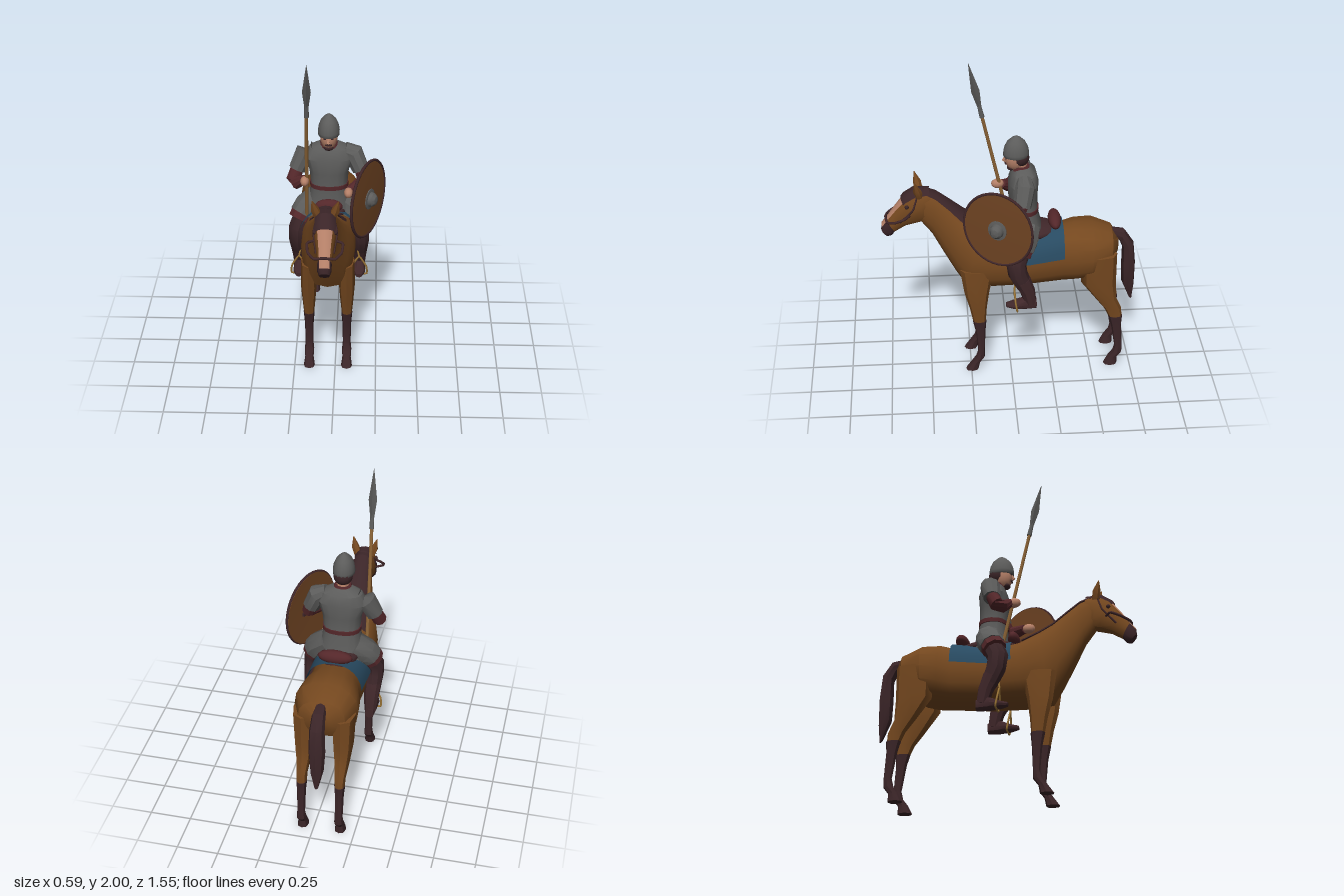
import * as THREE from 'three';
import { toCreasedNormals } from 'three/addons/utils/BufferGeometryUtils.js';

const CX = -0.045; // centre line of horse and rider

function mat(name, color, side = THREE.FrontSide) {
  const m = new THREE.MeshStandardMaterial({ color, side });
  m.name = name;
  return m;
}
const V = (x, y, z) => new THREE.Vector3(x, y, z);

// Surface through rows of points; closed rows are capped and turned outward
function surface(rows, closed, crease = 0.6) {
  const n = rows[0].length, pts = rows.flat(), idx = [];
  for (let i = 0; i < rows.length - 1; i++)
    for (let j = 0; j < (closed ? n : n - 1); j++) {
      const a = i * n + j, b = i * n + (j + 1) % n;
      idx.push(a, b, a + n, b, b + n, a + n);
    }
  if (closed) {
    [0, rows.length - 1].forEach((r) => {
      const c = rows[r].reduce((s, p) => s.add(p), V(0, 0, 0)).divideScalar(n);
      pts.push(c);
      for (let j = 0; j < n; j++) {
        const a = r * n + j, b = r * n + (j + 1) % n;
        r ? idx.push(a, b, pts.length - 1) : idx.push(b, a, pts.length - 1);
      }
    });
    let vol = 0;
    for (let k = 0; k < idx.length; k += 3)
      vol += pts[idx[k]].dot(V(0, 0, 0).crossVectors(pts[idx[k + 1]], pts[idx[k + 2]]));
    if (vol < 0) idx.reverse();
  }
  const g = new THREE.BufferGeometry().setFromPoints(pts);
  g.setIndex(idx);
  return toCreasedNormals(g, crease);
}

// Section [topZ, topY, bottomZ, bottomY, halfWidth, x] as points between two angles
function section([zt, yt, zb, yb, w, x = 0], n, a0 = 0, a1 = 360, off = 0) {
  const row = [], full = a1 - a0 === 360;
  const h = Math.hypot(zt - zb, yt - yb) / 2, k = (h + off) / h;
  const soft = (v) => Math.sign(v) * Math.abs(v) ** 0.85;
  for (let j = 0; j < n; j++) {
    const a = THREE.MathUtils.degToRad(a0 + (a1 - a0) * j / (full ? n : n - 1));
    const s = soft(Math.sin(a)) * k, c = soft(Math.cos(a));
    row.push(V(x + c * (w + off), (yt + yb) / 2 + s * (yt - yb) / 2, (zt + zb) / 2 + s * (zt - zb) / 2));
  }
  return row;
}
const loft = (secs, n = 12, off = 0) => surface(secs.map((s) => section(s, n, 0, 360, off)), true);
const band = (secs, a0, a1, off, n = 9) => surface(secs.map((s) => section(s, n, a0, a1, off)), false);

// Round limb through [x, y, z, radius]
function limb(path, n = 10) {
  const p = path.map(([x, y, z]) => V(x, y, z));
  return surface(p.map((c, i) => {
    const t = p[Math.min(i + 1, p.length - 1)].clone().sub(p[Math.max(i - 1, 0)]).normalize();
    const u = V(0, 0, 0).crossVectors(t, Math.abs(t.x) > 0.9 ? V(0, 1, 0) : V(1, 0, 0)).normalize();
    const v = V(0, 0, 0).crossVectors(t, u);
    return Array.from({ length: n }, (_, j) => {
      const a = j / n * Math.PI * 2;
      return c.clone().addScaledVector(u, Math.cos(a) * path[i][3]).addScaledVector(v, Math.sin(a) * path[i][3]);
    });
  }), true);
}
function tube(points, r, closed = false) {
  const curve = new THREE.CatmullRomCurve3(points.map((p) => V(...p)), closed, 'catmullrom', 0.2);
  return new THREE.TubeGeometry(curve, 32, r, 6, closed);
}

export function createModel() {
  const model = new THREE.Group();
  const coat = mat('bay coat', 0x75481f);
  const hair = mat('dark hair', 0x3b2528, THREE.DoubleSide);
  const steel = mat('mail and steel', 0x5c5c5b);
  const blue = mat('blanket blue', 0x284a61, THREE.DoubleSide);
  const wine = mat('wine cloth', 0x54272a);
  const skin = mat('skin', 0xb58068, THREE.DoubleSide);
  const ash = mat('spear wood', 0x8a6235);
  const brass = mat('brass', 0x9a7436);
  const planks = mat('shield wood', 0x6e4322);
  const leather = mat('dark leather', 0x40272a);

  const horse = new THREE.Group(), rider = new THREE.Group();
  horse.name = 'horse';
  rider.name = 'rider';
  horse.position.x = rider.position.x = CX;
  model.add(horse, rider);
  const add = (parent, name, geo, material, x = 0, y = 0, z = 0) => {
    const m = new THREE.Mesh(geo, material);
    m.name = name;
    m.position.set(x, y, z);
    parent.add(m);
    return m;
  };

  // Horse body and neck
  const body = [
    [-0.66, 0.88, -0.655, 0.78, 0.06], [-0.62, 0.94, -0.61, 0.69, 0.14], [-0.5, 0.985, -0.49, 0.63, 0.19],
    [-0.39, 0.985, -0.4, 0.61, 0.178], [-0.31, 0.965, -0.32, 0.6, 0.155], [-0.1, 0.935, -0.1, 0.58, 0.16],
    [0.08, 0.97, 0.1, 0.575, 0.165], [0.2, 1.03, 0.27, 0.585, 0.155], [0.28, 1.08, 0.335, 0.69, 0.125],
    [0.36, 1.15, 0.41, 0.83, 0.09], [0.44, 1.215, 0.47, 0.95, 0.068], [0.52, 1.25, 0.53, 1.03, 0.055]];
  add(horse, 'body', loft(body, 16), coat);

  // Head, muzzle and blaze
  const head = [
    [0.48, 1.245, 0.46, 1.1, 0.05], [0.57, 1.25, 0.5, 1.04, 0.062], [0.63, 1.21, 0.55, 1.03, 0.064],
    [0.69, 1.13, 0.625, 1.01, 0.05], [0.74, 1.06, 0.69, 0.97, 0.041]];
  const muzzle = [head[4], [0.77, 1.02, 0.71, 0.945, 0.04], [0.775, 0.985, 0.735, 0.938, 0.03]];
  add(horse, 'head', loft(head), coat);
  add(horse, 'muzzle', loft(muzzle), hair);
  add(horse, 'blaze', band([...head.slice(2), muzzle[1]], 52, 128, 0.004, 5), skin);
  add(horse, 'forelock', band([head[0], head[1], head[2], [0.645, 1.19, 0.56, 1.03, 0.06]], 40, 140, 0.012, 7), hair);

  // Mane lying over the crest, pointed at the withers
  add(horse, 'mane', band([[0.09, 0.98, 0.11, 0.58, 0.15], ...body.slice(7)], 52, 128, 0.012), hair);

  add(horse, 'tail', loft([
    [-0.6, 0.94, -0.6, 0.87, 0.03], [-0.7, 0.92, -0.67, 0.85, 0.04], [-0.76, 0.83, -0.69, 0.8, 0.045],
    [-0.776, 0.68, -0.69, 0.67, 0.05], [-0.775, 0.52, -0.695, 0.55, 0.04], [-0.765, 0.41, -0.745, 0.43, 0.012]], 8), hair);

  // Legs: [y, front z, back z, half width]
  const frontUpper = [[0.74, 0.31, 0.1, 0.045], [0.57, 0.285, 0.135, 0.048], [0.46, 0.255, 0.15, 0.04], [0.36, 0.235, 0.157, 0.031]];
  const frontLower = [[0.365, 0.238, 0.153, 0.034], [0.28, 0.22, 0.16, 0.027], [0.14, 0.207, 0.165, 0.024],
    [0.09, 0.222, 0.165, 0.029], [0.05, 0.25, 0.195, 0.026], [0, 0.285, 0.205, 0.034]];
  const hindUpper = [[0.82, -0.42, -0.645, 0.07], [0.62, -0.43, -0.645, 0.06], [0.5, -0.52, -0.65, 0.045],
    [0.42, -0.58, -0.685, 0.033], [0.355, -0.61, -0.69, 0.03]];
  const hindLower = [[0.365, -0.605, -0.694, 0.033], [0.3, -0.625, -0.69, 0.027], [0.14, -0.652, -0.7, 0.024],
    [0.09, -0.64, -0.7, 0.029], [0.05, -0.61, -0.67, 0.026], [0, -0.585, -0.672, 0.034]];
  for (const s of [1, -1]) {
    const leg = (rows) => loft(rows.map(([y, f, b, w]) => [f, y, b, y, w, s * 0.115]), 8);
    add(horse, 'frontLeg', leg(frontUpper), coat);
    add(horse, 'frontStocking', leg(frontLower), hair);
    add(horse, 'hindLeg', leg(hindUpper), coat);
    add(horse, 'hindStocking', leg(hindLower), hair);
    add(horse, 'ear', limb([[s * 0.04, 1.22, 0.54, 0.024], [s * 0.06, 1.27, 0.55, 0.024], [s * 0.075, 1.33, 0.565, 0.002]], 6), coat);
    add(horse, 'horseEye', new THREE.SphereGeometry(0.013, 8, 6), hair, s * 0.058, 1.16, 0.615);
    // Bridle cheek strap
    add(horse, 'cheekStrap', tube([[s * 0.045, 1.23, 0.55], [s * 0.066, 1.14, 0.58], [s * 0.05, 1.05, 0.66]], 0.006), leather);
  }
  add(horse, 'bridleLoop', tube([[-0.055, 1.1, 0.6], [-0.1, 1.1, 0.63], [-0.095, 1.075, 0.69], [-0.06, 1.06, 0.735], [0, 1.07, 0.745],
    [0.06, 1.06, 0.735], [0.095, 1.075, 0.69], [0.1, 1.1, 0.63], [0.055, 1.1, 0.6]], 0.008), leather);

  // Saddle blanket and saddle
  add(horse, 'blanket', band([[-0.32, 0.975, -0.32, 0.6, 0.155], ...body.slice(5, 6), [0.04, 0.96, 0.06, 0.575, 0.164]], 8, 172, 0.018, 13), blue);
  const seat = add(horse, 'saddleSeat', new THREE.SphereGeometry(1, 16, 10), leather, 0, 0.95, -0.11);
  seat.scale.set(0.12, 0.05, 0.19);
  const cantle = add(horse, 'cantle', new THREE.SphereGeometry(1, 16, 10), wine, 0, 1.01, -0.27);
  cantle.scale.set(0.105, 0.042, 0.04);
  const pommel = add(horse, 'pommel', new THREE.SphereGeometry(1, 16, 10), wine, 0, 1.01, 0.04);
  pommel.scale.set(0.085, 0.045, 0.035);

  // Rider's tunic, belt and collar
  const ring = (y, f, b, w) => [f, y, b, y, w];
  add(rider, 'tunic', loft([ring(0.9, 0.02, -0.2, 0.155), ring(1.0, 0.01, -0.19, 0.13), ring(1.1, 0, -0.165, 0.108),
    ring(1.2, 0.01, -0.165, 0.118), ring(1.29, 0.01, -0.17, 0.15), ring(1.35, -0.01, -0.155, 0.12), ring(1.385, -0.035, -0.12, 0.05)], 16), steel);
  add(rider, 'belt', loft([ring(1.095, 0, -0.165, 0.109), ring(1.12, 0, -0.165, 0.109)], 16, 0.007), wine);
  add(rider, 'collar', loft([ring(1.365, -0.015, -0.13, 0.062), ring(1.39, -0.025, -0.115, 0.05)], 12), wine);

  // Head, hair and helmet
  add(rider, 'neck', limb([[0, 1.35, -0.07, 0.038], [0, 1.43, -0.055, 0.038]]), skin);
  const face = add(rider, 'face', new THREE.SphereGeometry(1, 16, 12), skin, 0, 1.44, -0.03);
  face.scale.set(0.051, 0.08, 0.06);
  const locks = add(rider, 'hair', new THREE.SphereGeometry(1, 14, 10), hair, 0, 1.445, -0.06);
  locks.scale.set(0.057, 0.06, 0.056);
  add(rider, 'nose', limb([[0, 1.46, 0.022, 0.005], [0, 1.425, 0.038, 0.01], [0, 1.418, 0.026, 0.008]], 6), skin);
  add(rider, 'moustache', new THREE.BoxGeometry(0.038, 0.009, 0.01), hair, 0, 1.409, 0.025);
  const beard = add(rider, 'beard', new THREE.SphereGeometry(1, 10, 8), hair, 0, 1.378, -0.006);
  beard.scale.set(0.03, 0.018, 0.024);
  const profile = [[0.056, 1.45], [0.064, 1.455], [0.065, 1.475], [0.06, 1.51], [0.046, 1.545], [0.022, 1.572], [0, 1.587]];
  const helmet = add(rider, 'helmet', new THREE.LatheGeometry(profile.map(([x, y]) => new THREE.Vector2(x, y)), 18), steel, 0, 0, -0.037);
  helmet.scale.z = 1.18;

  for (const s of [1, -1]) {
    add(rider, 'riderEye', new THREE.BoxGeometry(0.014, 0.007, 0.006), hair, s * 0.021, 1.447, 0.024);
    // Arms
    const hand = s > 0 ? [0.12, 1.14, 0.09] : [-0.14, 1.19, 0.045];
    add(rider, 'shortSleeve', limb([[s * 0.09, 1.335, -0.08, 0.045], [s * 0.145, 1.31, -0.08, 0.06], [s * 0.19, 1.21, -0.06, 0.052]]), steel);
    add(rider, 'sleeve', limb([[s * 0.18, 1.24, -0.065, 0.04], [s * 0.212, 1.155, -0.03, 0.043], [s * 0.19, 1.15, 0.005, 0.04],
      [hand[0], hand[1], hand[2] - 0.005, 0.027]]), wine);
    const fist = add(rider, 'hand', new THREE.SphereGeometry(1, 10, 8), skin, hand[0], hand[1], hand[2] + 0.02);
    fist.scale.set(0.027, 0.03, 0.04);
    // Legs
    add(rider, 'tunicSkirt', limb([[s * 0.07, 1.0, -0.1, 0.08], [s * 0.14, 0.945, -0.08, 0.08], [s * 0.165, 0.905, -0.06, 0.077]]), steel);
    add(rider, 'tunicHem', limb([[s * 0.15, 0.93, -0.07, 0.074], [s * 0.178, 0.875, -0.045, 0.073]]), wine);
    add(rider, 'trouserLeg', limb([[s * 0.14, 0.93, -0.07, 0.065], [s * 0.185, 0.82, -0.025, 0.063], [s * 0.188, 0.75, -0.035, 0.059], [s * 0.185, 0.66, -0.075, 0.05]]), hair);
    add(rider, 'boot', limb([[s * 0.187, 0.7, -0.06, 0.054], [s * 0.185, 0.62, -0.095, 0.046], [s * 0.185, 0.53, -0.115, 0.036]]), leather);
    add(rider, 'foot', loft([[-0.15, 0.56, -0.15, 0.495, 0.026, s * 0.185], [-0.08, 0.575, -0.08, 0.492, 0.035, s * 0.185],
      [-0.01, 0.545, -0.01, 0.5, 0.036, s * 0.185], [0.035, 0.535, 0.035, 0.51, 0.018, s * 0.185]], 10), leather);
    // Stirrup and strap
    add(horse, 'stirrup', tube([[s * 0.138, 0.5, -0.03], [s * 0.232, 0.5, -0.03], [s * 0.228, 0.56, -0.02], [s * 0.185, 0.63, -0.015], [s * 0.142, 0.56, -0.02]], 0.006, true), brass);
    add(horse, 'stirrupStrap', tube([[s * 0.185, 0.63, -0.015], [s * 0.165, 0.72, -0.03], [s * 0.165, 0.85, -0.06]], 0.006), brass);
  }

  // Spear
  const spear = new THREE.Group();
  spear.name = 'spear';
  model.add(spear);
  const along = (y, r) => [-0.18 + (y - 0.87) * 0.0185, y, -0.017 + (y - 0.87) * 0.22, r];
  add(spear, 'spearShaft', limb([along(0.87, 0.011), along(1.68, 0.01)], 8), ash);
  add(spear, 'spearSocket', limb([along(1.65, 0.015), along(1.74, 0.011)], 8), steel);
  add(spear, 'spearBlade', limb([along(1.7, 0.01), along(1.82, 0.025), along(2.0, 0.001)], 4), steel);

  // Round shield
  const shield = new THREE.Group();
  shield.name = 'shield';
  shield.position.set(0.19, 1.09, 0.085);
  shield.rotation.y = 1.116;
  shield.scale.x = 0.91;
  model.add(shield);
  const lathe = (pts, n) => toCreasedNormals(new THREE.LatheGeometry(pts.map(([x, y]) => new THREE.Vector2(x, y)), n).rotateX(Math.PI / 2), 0.5);
  add(shield, 'shieldBoard', lathe([[0, -0.004], [0.238, -0.01], [0.238, 0.003], [0, 0.013]], 32), planks);
  add(shield, 'shieldRim', new THREE.TorusGeometry(0.238, 0.009, 6, 40), leather);
  add(shield, 'shieldBoss', lathe([[0.064, 0.004], [0.064, 0.015], [0.046, 0.018], [0.042, 0.037], [0.026, 0.054], [0, 0.061]], 20), steel);
  add(shield, 'shieldGrip', new THREE.BoxGeometry(0.2, 0.022, 0.014), leather, 0, 0, -0.02);

  return model;
}
